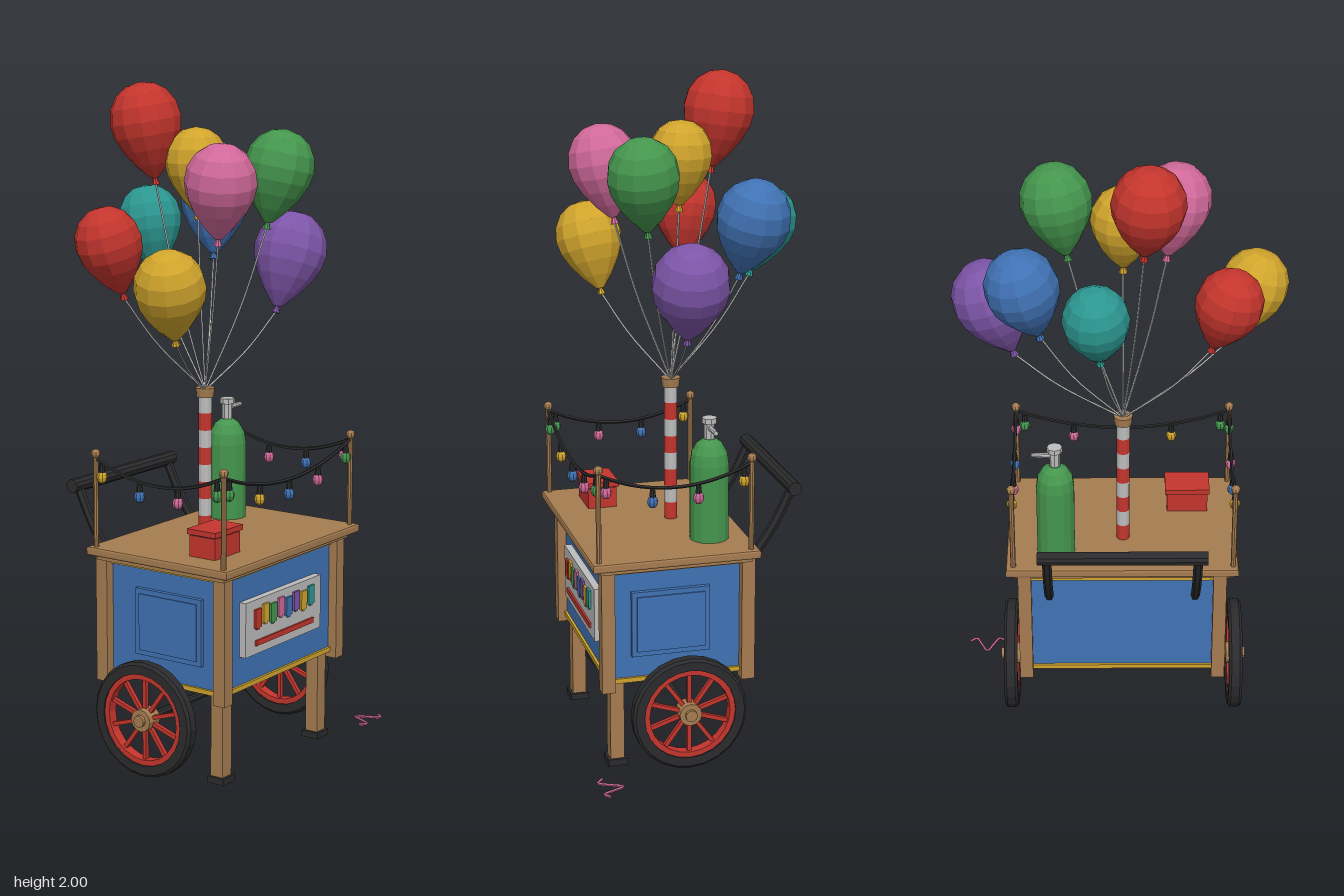
import * as THREE from 'three';

const mat = (name, color) => {
  const m = new THREE.MeshStandardMaterial({ color, flatShading: true });
  m.name = name;
  return m;
};

export function createModel() {
  const M = {
    red: mat('red', 0xc4352d), yellow: mat('yellow', 0xd0a42c), green: mat('green', 0x45964e),
    pink: mat('pink', 0xd0699a), blue: mat('blue', 0x4072b4), purple: mat('purple', 0x7d55a8),
    teal: mat('teal', 0x2c9690), wood: mat('wood', 0xa57c50), dark: mat('dark', 0x2b2b2d),
    silver: mat('silver', 0xbcbcbc),
  };
  const model = new THREE.Group();
  const CX = -0.01; // centre line of the cart

  const add = (name, geo, m, x = 0, y = 0, z = 0, parent = model) => {
    const mesh = new THREE.Mesh(geo, m);
    mesh.name = name;
    mesh.position.set(x, y, z);
    parent.add(mesh);
    return mesh;
  };
  // box given by its limits
  const box = (name, m, x0, x1, y0, y1, z0, z1, parent) =>
    add(name, new THREE.BoxGeometry(x1 - x0, y1 - y0, z1 - z0), m, (x0 + x1) / 2, (y0 + y1) / 2, (z0 + z1) / 2, parent);
  const cyl = (name, m, r0, r1, h, x, y, z, seg = 12, parent) =>
    add(name, new THREE.CylinderGeometry(r1, r0, h, seg), m, x, y, z, parent);
  const tube = (name, m, pts, r, seg = 16, sides = 5) =>
    add(name, new THREE.TubeGeometry(new THREE.CatmullRomCurve3(pts), seg, r, sides), m);
  const V = (x, y, z) => new THREE.Vector3(x, y, z);
  const lathe = (pts, seg) => new THREE.LatheGeometry(pts.map(p => new THREE.Vector2(p[0], p[1])), seg);

  // Cart body
  box('body', M.blue, -0.295, 0.275, 0.272, 0.63, -0.135, 0.272);
  for (const x of [-0.305, 0.285]) for (const z of [-0.143, 0.28])
    box('cornerPost', M.wood, x - 0.02, x + 0.02, 0.25, 0.64, z - 0.02, z + 0.02);
  for (const y of [0.276, 0.615]) // trim bands around the body
    box('trim', M.yellow, -0.303, 0.283, y - 0.007, y + 0.007, -0.143, 0.28);
  box('topRail', M.wood, -0.335, 0.315, 0.622, 0.638, -0.15, 0.305);
  const top = new THREE.Shape();
  const hw = 0.343, hd = 0.243;
  top.moveTo(-hw, -hd).lineTo(hw, -hd).lineTo(hw, hd).lineTo(-hw, hd);
  const counter = add('counter', new THREE.ExtrudeGeometry(top, {
    depth: 0.015, bevelEnabled: true, bevelSize: 0.007, bevelThickness: 0.006, bevelSegments: 2,
  }), M.wood, CX, 0.643, 0.081);
  counter.rotation.x = -Math.PI / 2;

  // Side panels
  for (const [x, s] of [[-0.295, -1], [0.275, 1]]) {
    add('sidePanel', new THREE.BoxGeometry(0.016, 0.2, 0.236), M.blue, x + s * 0.006, 0.45, 0.088);
    add('sidePanelInset', new THREE.BoxGeometry(0.006, 0.17, 0.206), M.blue, x + s * 0.015, 0.45, 0.088);
  }

  // Front sign with a row of small coloured balloons
  box('sign', M.silver, -0.21, 0.185, 0.368, 0.532, 0.27, 0.294);
  ['red', 'yellow', 'green', 'pink', 'blue', 'purple', 'yellow', 'teal'].forEach((c, i) => {
    const x = -0.153 + i * 0.04, y = 0.474 + (i % 2) * 0.008;
    box('signBalloon', M[c], x - 0.015, x + 0.015, y - 0.026, y + 0.03, 0.29, 0.301);
    box('signKnot', M[c], x - 0.006, x + 0.006, y - 0.032, y - 0.026, 0.29, 0.3);
  });
  box('signStripe', M.red, -0.162, 0.14, 0.394, 0.41, 0.29, 0.3);

  // Front legs
  for (const x of [-0.263, 0.238]) {
    box('leg', M.wood, x - 0.022, x + 0.022, 0.015, 0.275, 0.224, 0.266);
    box('foot', M.dark, x - 0.03, x + 0.03, 0, 0.02, 0.216, 0.274);
  }

  // Axle and spoked wheels
  const axle = cyl('axle', M.dark, 0.012, 0.012, 0.74, -0.013, 0.18, 0.048, 8);
  axle.rotation.z = Math.PI / 2;
  for (const x of [-0.365, 0.338]) {
    const wheel = new THREE.Group();
    wheel.name = 'wheel';
    wheel.position.set(x, 0.18, 0.048);
    wheel.rotation.z = -Math.PI / 2;
    const ring = (name, m, r0, r1, h, b) => add(name, lathe([[r0, -h], [r1 - b, -h], [r1, -h + b],
      [r1, h - b], [r1 - b, h], [r0, h], [r0, -h]], 24), m, 0, 0, 0, wheel);
    ring('tyre', M.dark, 0.138, 0.173, 0.021, 0.008);
    ring('rim', M.red, 0.122, 0.14, 0.016, 0.002);
    cyl('hub', M.wood, 0.034, 0.034, 0.05, 0, 0, 0, 12, wheel);
    cyl('hubCap', M.wood, 0.018, 0.018, 0.07, 0, 0, 0, 10, wheel);
    for (let i = 0; i < 10; i++) {
      const a = i / 10 * Math.PI * 2;
      const spoke = add('spoke', new THREE.BoxGeometry(0.1, 0.013, 0.012), M.red,
        0.078 * Math.cos(a), 0, -0.078 * Math.sin(a), wheel);
      spoke.rotation.y = a;
    }
    model.add(wheel);
  }

  // Push handle at the back
  for (const x of [-0.232, 0.212])
    tube('handleArm', M.dark, [V(x, 0.53, -0.12), V(x, 0.6, -0.182), V(x, 0.69, -0.245), V(x, 0.805, -0.302)], 0.014, 10, 6);
  const bar = cyl('handleBar', M.dark, 0.021, 0.021, 0.5, CX, 0.807, -0.303, 10);
  bar.rotation.z = Math.PI / 2;

  // Striped pole
  const PX = -0.013, PZ = 0.008;
  for (let i = 0; i < 8; i++)
    cyl('poleBand', i % 2 ? M.silver : M.red, 0.02, 0.02, 0.052, PX, 0.69 + i * 0.052, PZ);
  cyl('poleCap', M.wood, 0.026, 0.029, 0.028, PX, 1.09, PZ);

  // Gas cylinder with valve
  add('gasCylinder', lathe([[0, 0.662], [0.058, 0.662], [0.058, 0.895], [0.053, 0.928], [0.038, 0.955], [0.018, 0.97], [0, 0.97]], 14),
    M.green, 0.19, 0, -0.054);
  cyl('valveNeck', M.silver, 0.016, 0.016, 0.06, 0.19, 0.99, -0.054, 8);
  cyl('valveKnob', M.silver, 0.023, 0.023, 0.016, 0.19, 1.025, -0.054, 8);
  const nozzle = cyl('nozzle', M.silver, 0.009, 0.007, 0.07, 0.224, 1.004, -0.054, 8);
  nozzle.rotation.z = -Math.PI / 2;

  // Cash box
  box('cashBox', M.red, -0.275, -0.15, 0.662, 0.726, 0.142, 0.231);
  box('cashBoxSeam', M.dark, -0.273, -0.152, 0.726, 0.731, 0.144, 0.229);
  box('cashBoxLid', M.red, -0.281, -0.144, 0.73, 0.746, 0.136, 0.237);

  // Light poles, cords and bulbs on three sides
  const L = -0.344, R = 0.318, F = 0.31, B = -0.145;
  for (const x of [L, R]) for (const z of [F, B]) {
    cyl('lightPole', M.wood, 0.008, 0.008, 0.28, x, 0.8, z, 8);
    add('lightPoleKnob', new THREE.SphereGeometry(0.014, 8, 6), M.wood, x, 0.942, z);
  }
  const garland = (a, b, sag, ts, colors) => {
    const at = t => a.clone().lerp(b, t).setY(0.928 - sag * 4 * t * (1 - t));
    tube('lightCord', M.dark, [0, 0.125, 0.25, 0.375, 0.5, 0.625, 0.75, 0.875, 1].map(at), 0.0055, 24);
    ts.forEach((t, i) => {
      const p = at(t);
      cyl('bulbSocket', M.dark, 0.01, 0.007, 0.028, p.x, p.y - 0.016, p.z, 8);
      const bulb = add('bulb', new THREE.SphereGeometry(0.016, 8, 6), M[colors[i]], p.x, p.y - 0.043, p.z);
      bulb.scale.y = 1.2;
    });
  };
  garland(V(L, 0, F), V(R, 0, F), 0.063, [0.04, 0.27, 0.5, 0.73, 0.96], ['green', 'yellow', 'blue', 'pink', 'green']);
  const side = [0.05, 0.35, 0.65, 0.95];
  garland(V(L, 0, F), V(L, 0, B), 0.055, side, ['green', 'pink', 'blue', 'yellow']);
  garland(V(R, 0, F), V(R, 0, B), 0.055, side, ['pink', 'blue', 'pink', 'yellow']);

  // Balloons: colour, centre, radius; each leans away from the pole
  const profile = [[0, -1.5], [0.13, -1.46], [0.45, -1.1], [0.74, -0.68], [0.93, -0.28], [1, 0.1],
    [0.93, 0.52], [0.72, 0.87], [0.4, 1.1], [0, 1.18]];
  const up = V(0, 1, 0);
  [['red', -0.081, 1.875, -0.155, 0.106], ['pink', -0.164, 1.72, 0.17, 0.105],
    ['yellow', -0.013, 1.76, -0.022, 0.094], ['green', 0.177, 1.737, 0.137, 0.105],
    ['teal', 0.063, 1.57, -0.25, 0.096], ['blue', 0.267, 1.62, -0.156, 0.107],
    ['purple', 0.367, 1.465, 0.052, 0.112], ['red', -0.308, 1.545, -0.116, 0.098],
    ['yellow', -0.393, 1.447, 0.162, 0.103],
  ].forEach(([c, x, y, z, r]) => {
    const axis = V((x - PX) * 0.95, 1, (z - PZ) * 0.95).normalize();
    const g = new THREE.Group();
    g.name = 'balloon';
    g.position.set(x, y, z);
    g.quaternion.setFromUnitVectors(up, axis);
    add('balloonSkin', lathe(profile.map(p => [p[0] * r, p[1] * r]), 12), M[c], 0, 0, 0, g);
    cyl('balloonKnot', M[c], 0.013, 0.005, 0.022, 0, -1.56 * r, 0, 8, g);
    model.add(g);
    const knot = V(x, y, z).addScaledVector(axis, -1.62 * r);
    const start = V(PX, 1.095, PZ);
    const mid = start.clone().lerp(knot, 0.55);
    mid.x += (knot.x - PX) * 0.05;
    mid.z += (knot.z - PZ) * 0.05;
    mid.y -= 0.008;
    tube('balloonString', M.silver, [start, mid, knot], 0.0032, 10, 4);
  });

  // Loose ribbon on the ground
  tube('ribbon', M.pink, [V(0.37, 0.012, 0.32), V(0.394, 0.012, 0.336), V(0.415, 0.012, 0.302), V(0.433, 0.012, 0.27),
    V(0.451, 0.012, 0.302), V(0.47, 0.012, 0.336), V(0.491, 0.012, 0.32)], 0.0045, 28, 5);

  return model;
}
